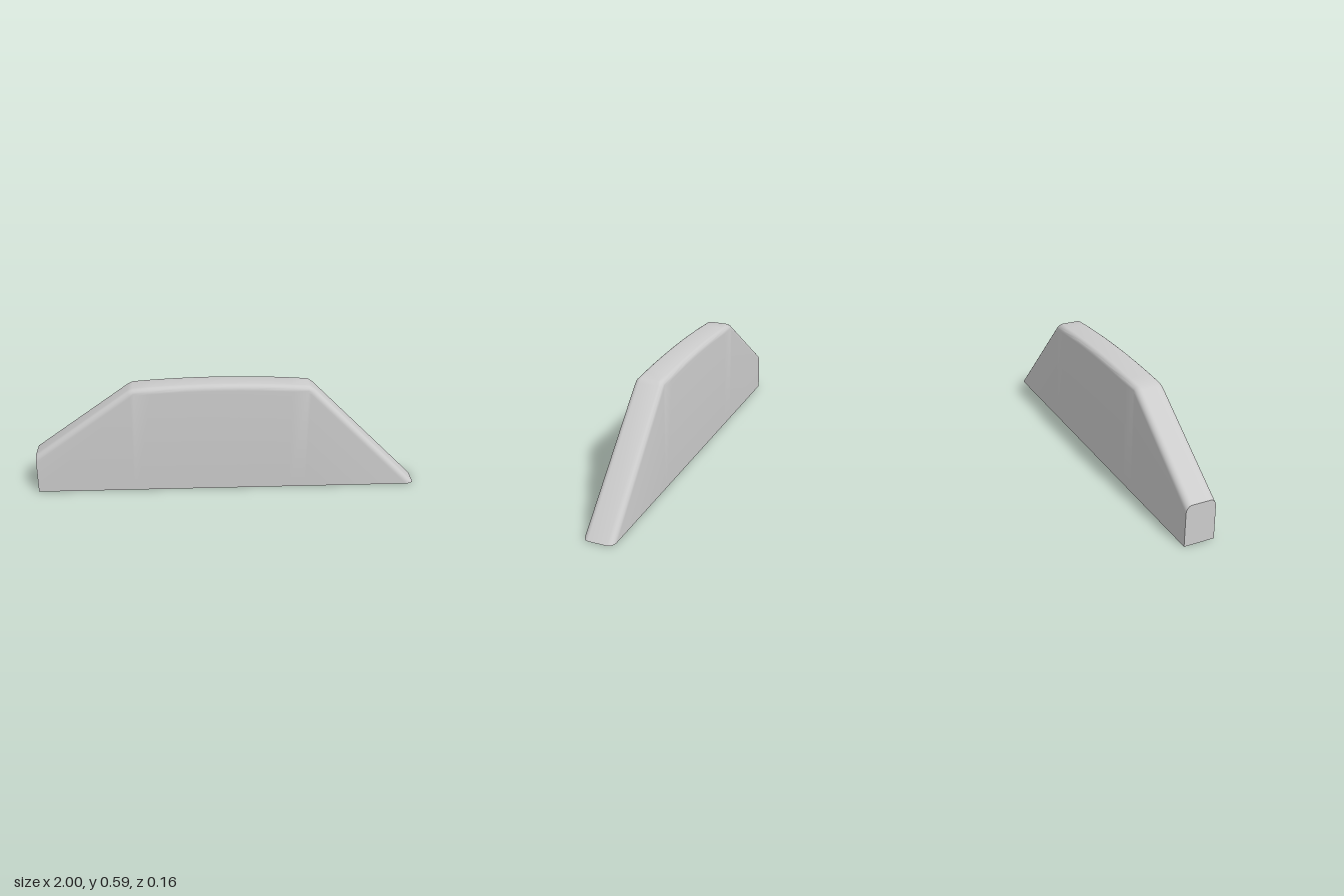
import * as THREE from 'three';
import { toCreasedNormals } from 'three/addons/utils/BufferGeometryUtils.js';

const HALF = 0.078;   // half thickness
const R = 0.03;       // fillet radius along the upper edge
const STEPS = 6;      // fillet segments
const TAPER = 0.0125; // lean of the back face per unit of height

// Upper outline from the blunt end to the pointed tip, with a gently bowed crest
function outline() {
  const pts = [[-1, 0.21], [-0.51, 0.56]];
  for (let k = 0; k <= 10; k++) {
    const t = k / 5 - 1;
    pts.push([-0.0325 + 0.4525 * t, 0.589 - 0.018 * t * t]);
  }
  pts.push([0.445, 0.555], [1, 0]);
  return pts.map(([x, y]) => new THREE.Vector2(x, y));
}

// Outline moved inward by d; its ends slide along the end face and the base
function inset(pts, d) {
  const normal = (a, b) => new THREE.Vector2(a.y - b.y, b.x - a.x).normalize();
  const last = pts.length - 1;
  return pts.map((p, i) => {
    if (i === 0) return new THREE.Vector2(p.x, p.y - d / normal(p, pts[1]).y);
    const n = normal(pts[i - 1], p);
    if (i === last) return new THREE.Vector2(p.x - d / n.x, p.y);
    const m = normal(p, pts[i + 1]);
    const miter = n.clone().add(m).divideScalar(1 + n.dot(m));
    return p.clone().addScaledVector(miter, -d);
  });
}

function bladeGeometry() {
  const pts = outline();
  const layers = [];
  for (let k = 0; k <= STEPS; k++) {
    const a = (k / STEPS) * Math.PI / 2;
    layers.push({ line: inset(pts, R * (1 - Math.sin(a))), z: HALF - R * (1 - Math.cos(a)) });
  }
  // Cross-sections: front base, over the rounded top, back base
  const sections = pts.map((_, i) => {
    const front = layers.map(({ line, z }) => new THREE.Vector3(line[i].x, line[i].y, z));
    const back = front.map((v) => new THREE.Vector3(v.x, v.y, -v.z + TAPER * v.y)).reverse();
    const foot = front[0].x;
    return [new THREE.Vector3(foot, 0, HALF), ...front, ...back, new THREE.Vector3(foot, 0, -HALF)];
  });

  const pos = [];
  const tri = (a, b, c) => {
    if (new THREE.Triangle(a, b, c).getArea() < 1e-9) return;
    for (const v of [a, b, c]) pos.push(v.x, v.y, v.z);
  };
  const n = sections[0].length;
  for (let i = 0; i < sections.length - 1; i++) {
    const s = sections[i], t = sections[i + 1];
    for (let j = 0; j < n; j++) {
      const k = (j + 1) % n;
      tri(s[j], t[j], t[k]);
      tri(s[j], t[k], s[k]);
    }
  }
  // Blunt end face, and the base under the rounded tip
  const tip = sections[sections.length - 1];
  for (let j = 1; j < n - 1; j++) {
    tri(sections[0][0], sections[0][j], sections[0][j + 1]);
    tri(tip[0], tip[j + 1], tip[j]);
  }
  const geo = new THREE.BufferGeometry();
  geo.setAttribute('position', new THREE.Float32BufferAttribute(pos, 3));
  return toCreasedNormals(geo, 0.5);
}

export function createModel() {
  const group = new THREE.Group();
  group.name = 'wedgePanel';
  const body = new THREE.Mesh(bladeGeometry(), new THREE.MeshStandardMaterial({ color: 0xcccccc }));
  body.name = 'roundedBody';
  group.add(body);
  return group;
}
